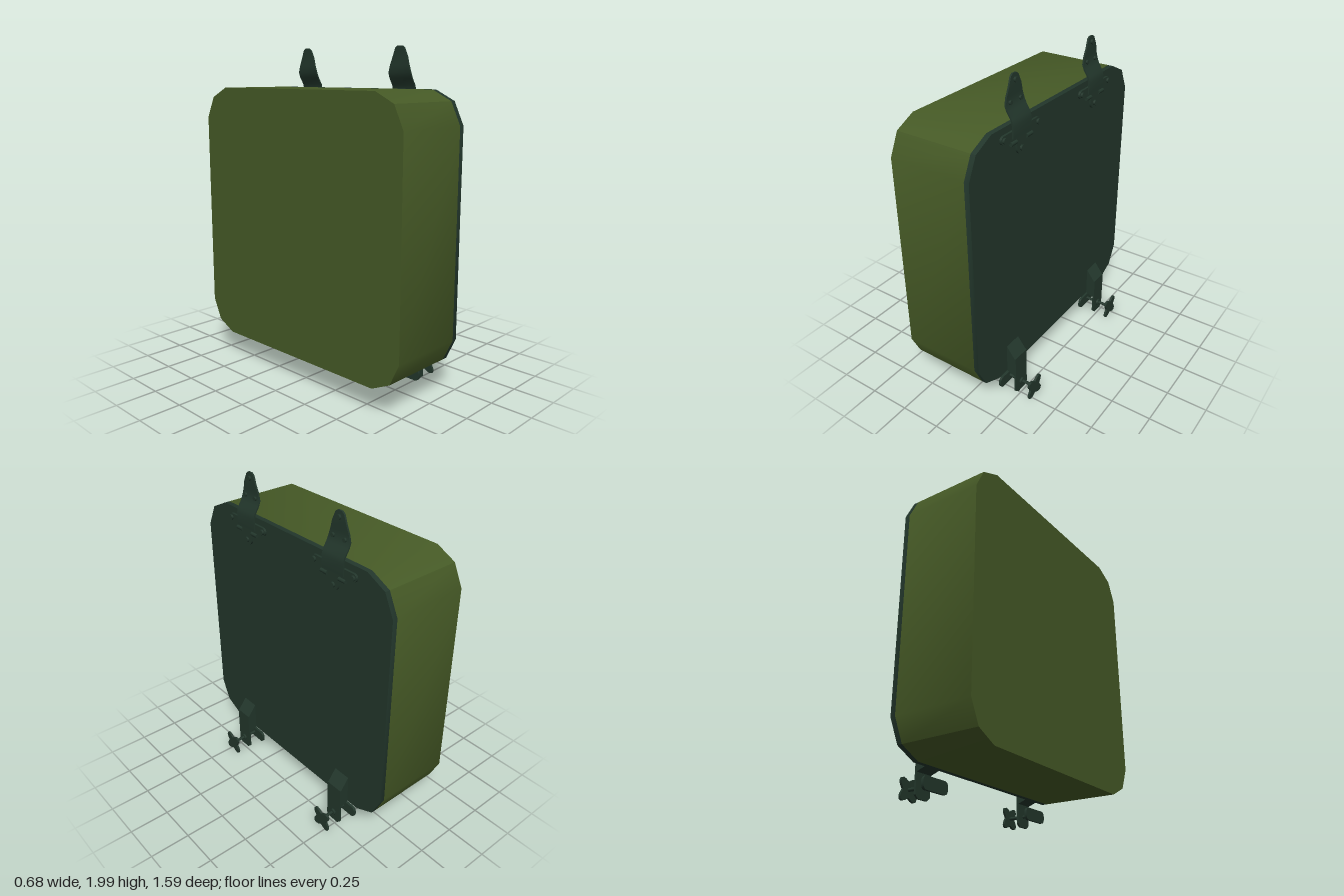
import * as THREE from 'three';
import { toCreasedNormals } from 'three/addons/utils/BufferGeometryUtils.js';

const green = new THREE.MeshStandardMaterial({ color: 0x465a26 });
const dark = new THREE.MeshStandardMaterial({ color: 0x22362b });

function add(parent, name, geometry, material = dark, x = 0, y = 0, z = 0) {
  const mesh = new THREE.Mesh(geometry, material);
  mesh.name = name;
  mesh.position.set(x, y, z);
  parent.add(mesh);
  return mesh;
}

// Outline in the (z, y) plane, extruded from x0 to x1
function slab(shape, x0, x1, crease = 0.55) {
  const geo = new THREE.ExtrudeGeometry(shape, { depth: x1 - x0, bevelEnabled: false, curveSegments: 6 });
  geo.rotateY(Math.PI / 2).translate(x0, 0, 0);
  return toCreasedNormals(geo, crease);
}

const polygon = (points) => new THREE.Shape(points.map(([a, b]) => new THREE.Vector2(a, b)));

// Cylinder along x, from x0 to x1
function peg(r, x0, x1, sides = 10) {
  return new THREE.CylinderGeometry(r, r, x1 - x0, sides).rotateZ(-Math.PI / 2).translate((x0 + x1) / 2, 0, 0);
}

// Square-section outline with chamfered corners in two steps
function caseOutline() {
  const corner = [[0.797, 0.605], [0.735, 0.735], [0.61, 0.795]];
  const mirrored = corner.slice().reverse();
  const flip = (list, sx, sy) => list.map(([a, b]) => [a * sx, b * sy + 0.965]);
  return polygon([...flip(corner, 1, 1), ...flip(mirrored, -1, 1), ...flip(corner, -1, -1), ...flip(mirrored, 1, -1)]);
}

// Bent strip from rows of [y, x, half width]
function bentStrip(rows, t) {
  const pos = [], idx = [];
  for (const [y, x, w] of rows) pos.push(x + t, y, w, x + t, y, -w, x, y, -w, x, y, w);
  for (let i = 0; i < rows.length - 1; i++) {
    for (let k = 0; k < 4; k++) {
      const a = i * 4 + k, b = i * 4 + (k + 1) % 4;
      idx.push(a, a + 4, b, b, a + 4, b + 4);
    }
  }
  const e = (rows.length - 1) * 4;
  idx.push(0, 1, 2, 0, 2, 3, e, e + 2, e + 1, e, e + 3, e + 2);
  const geo = new THREE.BufferGeometry();
  geo.setAttribute('position', new THREE.Float32BufferAttribute(pos, 3));
  geo.setIndex(idx);
  return toCreasedNormals(geo, 0.8);
}

// Upper hanger: bent tongue, riveted T-shaped hinge leaf and knuckles
function makeHanger() {
  const g = new THREE.Group();
  g.name = 'hanger';
  add(g, 'hangerTongue', bentStrip([
    [2.0, 0.137, 0.015], [1.988, 0.137, 0.032], [1.94, 0.14, 0.052], [1.89, 0.136, 0.068], [1.85, 0.138, 0.08],
    [1.82, 0.15, 0.081], [1.78, 0.175, 0.081], [1.75, 0.183, 0.081], [1.68, 0.181, 0.081],
  ], 0.01));

  const leaf = new THREE.Shape();
  leaf.moveTo(-0.148, 1.722);
  leaf.lineTo(0.148, 1.722);
  leaf.absarc(0.148, 1.698, 0.024, Math.PI / 2, -Math.PI / 2, true);
  leaf.lineTo(0.09, 1.658);
  leaf.lineTo(0.04, 1.648);
  leaf.lineTo(0.037, 1.608);
  leaf.absarc(0, 1.608, 0.037, 0, -Math.PI, true);
  leaf.lineTo(-0.04, 1.648);
  leaf.lineTo(-0.09, 1.658);
  leaf.lineTo(-0.148, 1.674);
  leaf.absarc(-0.148, 1.698, 0.024, -Math.PI / 2, -Math.PI * 1.5, true);
  add(g, 'hingeLeaf', slab(leaf, 0.168, 0.184));

  const knuckle = new THREE.CylinderGeometry(0.012, 0.012, 0.05, 10).rotateX(Math.PI / 2);
  for (const s of [-1, 1]) {
    add(g, 'hingeKnuckle', knuckle, dark, 0.183, 1.655, s * 0.07);
    add(g, 'leafRivet', peg(0.016, 0.182, 0.196), dark, 0, 1.698, s * 0.15);
    add(g, 'tongueRivet', peg(0.012, 0.14, 0.158), dark, 0, 1.858, s * 0.045);
  }
  add(g, 'leafRivet', peg(0.016, 0.182, 0.196), dark, 0, 1.605, 0);
  add(g, 'tipRivet', peg(0.014, 0.14, 0.16), dark, 0, 1.966, 0);
  return g;
}

// Lower clamp: wedge bracket, hanging plate, screw with jaw and lobed knob
function makeClamp() {
  const g = new THREE.Group();
  g.name = 'clamp';
  const wedge = new THREE.ExtrudeGeometry(
    polygon([[0.165, 0.355], [0.165, 0.17], [0.225, 0.148], [0.225, 0.285], [0.172, 0.355]]),
    { depth: 0.114, bevelEnabled: false });
  add(g, 'clampBracket', wedge.translate(0, 0, -0.057));
  const plate = polygon([[-0.057, 0.285], [-0.057, 0.03], [-0.035, 0.01], [0.035, 0.01], [0.057, 0.03], [0.057, 0.285]]);
  add(g, 'clampPlate', slab(plate, 0.222, 0.234));
  add(g, 'clampScrew', peg(0.01, 0.14, 0.33), dark, 0, 0.076, 0);
  add(g, 'screwCollar', peg(0.022, 0.232, 0.246), dark, 0, 0.076, 0);

  // Jaw pad with rounded ends
  const jaw = new THREE.Shape();
  jaw.moveTo(-0.07, 0.112);
  jaw.lineTo(0.07, 0.112);
  jaw.quadraticCurveTo(0.098, 0.112, 0.098, 0.076);
  jaw.quadraticCurveTo(0.098, 0.038, 0.07, 0.038);
  jaw.lineTo(-0.07, 0.038);
  jaw.quadraticCurveTo(-0.098, 0.038, -0.098, 0.076);
  jaw.quadraticCurveTo(-0.098, 0.112, -0.07, 0.112);
  add(g, 'clampJaw', slab(jaw, 0.134, 0.15));

  // Four-lobed knob
  const lobes = [];
  for (let i = 0; i < 32; i++) {
    const a = (i / 32) * Math.PI * 2;
    const r = 0.062 - 0.019 * Math.cos(4 * a);
    lobes.push([Math.cos(a) * r, Math.sin(a) * r + 0.077]);
  }
  add(g, 'clampKnob', slab(polygon(lobes), 0.322, 0.336));
  return g;
}

export function createModel() {
  const model = new THREE.Group();
  model.name = 'paddedCase';

  // Case body and its mounting face
  add(model, 'caseBody', slab(caseOutline(), -0.34, 0.14), green);
  add(model, 'backPanel', slab(caseOutline(), 0.14, 0.171));

  for (const s of [-1, 1]) {
    const hanger = makeHanger();
    hanger.position.z = s * 0.376;
    const clamp = makeClamp();
    clamp.position.z = s * 0.47;
    model.add(hanger, clamp);
  }
  return model;
}
